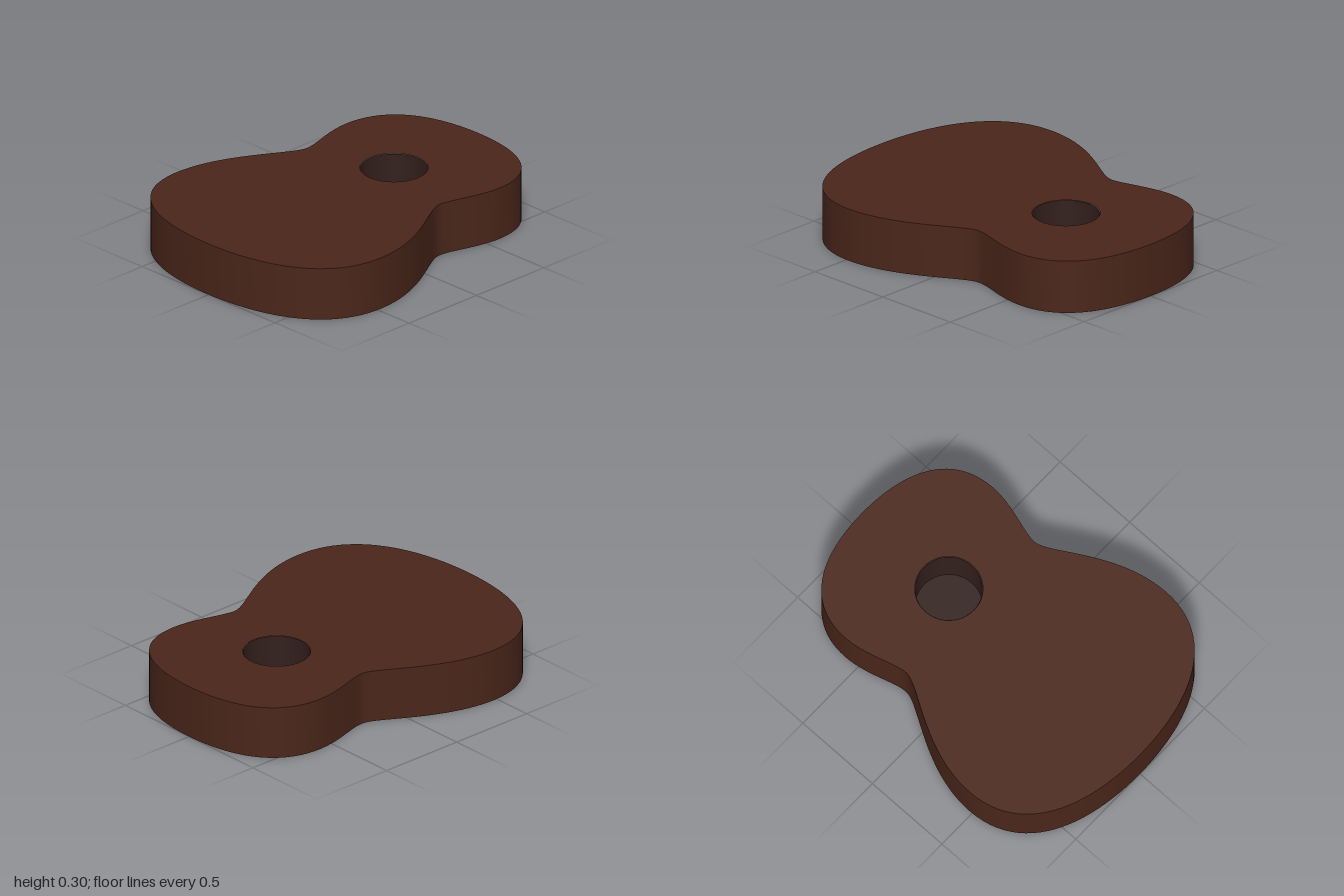
import * as THREE from 'three';
import { toCreasedNormals } from 'three/addons/utils/BufferGeometryUtils.js';

const HEIGHT = 0.295, BACK = 0.02;
const HOLE_R = 0.18, HOLE_Z = -0.375;

// Right half of the waisted outline as Bezier segments: control 1, control 2, end (x, z)
const START = [0, -1];
const HALF = [
  [0.36, -1, 0.575, -0.86, 0.575, -0.59],      // upper bout
  [0.575, -0.44, 0.5, -0.3, 0.5, -0.22],       // into the waist
  [0.5, -0.12, 0.765, 0.14, 0.765, 0.48],      // out to the lower bout
  [0.765, 0.86, 0.4, 1, 0, 1],                 // round the tail
];

// Shape y is -z, so the extrusion can be turned upright
function outline() {
  const shape = new THREE.Shape();
  shape.moveTo(START[0], -START[1]);
  for (const [a, b, c, d, e, f] of HALF) shape.bezierCurveTo(a, -b, c, -d, e, -f);
  // Mirrored half, walked back from the tail
  for (let i = HALF.length - 1; i >= 0; i--) {
    const [a, b, c, d] = HALF[i];
    const [x, z] = i > 0 ? HALF[i - 1].slice(4) : START;
    shape.bezierCurveTo(-c, -d, -a, -b, -x, -z);
  }
  return shape;
}

function slab(shape, y0, y1) {
  const geo = new THREE.ExtrudeGeometry(shape, {
    depth: y1 - y0, bevelEnabled: false, curveSegments: 24,
  });
  geo.rotateX(-Math.PI / 2).translate(0, y0, 0);
  return toCreasedNormals(geo, 0.6);
}

export function createModel() {
  const group = new THREE.Group();
  const wood = new THREE.MeshStandardMaterial({ color: 0x4a261a });
  const dark = new THREE.MeshStandardMaterial({ color: 0x33201c, side: THREE.DoubleSide });

  const add = (name, geometry, material) => {
    const mesh = new THREE.Mesh(geometry, material);
    mesh.name = name;
    group.add(mesh);
    return mesh;
  };

  // Body with the round sound hole
  const bodyShape = outline();
  const hole = new THREE.Path();
  hole.absarc(0, -HOLE_Z, HOLE_R, 0, Math.PI * 2, true);
  bodyShape.holes.push(hole);
  add('body', slab(bodyShape, BACK, HEIGHT), wood);

  // Closed back panel
  add('backPanel', slab(outline(), 0, BACK), wood);

  // Dark lining: wall and floor of the sound hole
  const wallGeo = new THREE.CylinderGeometry(
    HOLE_R - 0.002, HOLE_R - 0.002, HEIGHT - BACK - 0.002, 48, 1, true);
  add('soundHoleWall', wallGeo, dark).position.set(0, (HEIGHT + BACK) / 2, HOLE_Z);

  const floorGeo = new THREE.CircleGeometry(HOLE_R, 48).rotateX(-Math.PI / 2);
  add('soundHoleFloor', floorGeo, dark).position.set(0, BACK + 0.003, HOLE_Z);

  return group;
}
